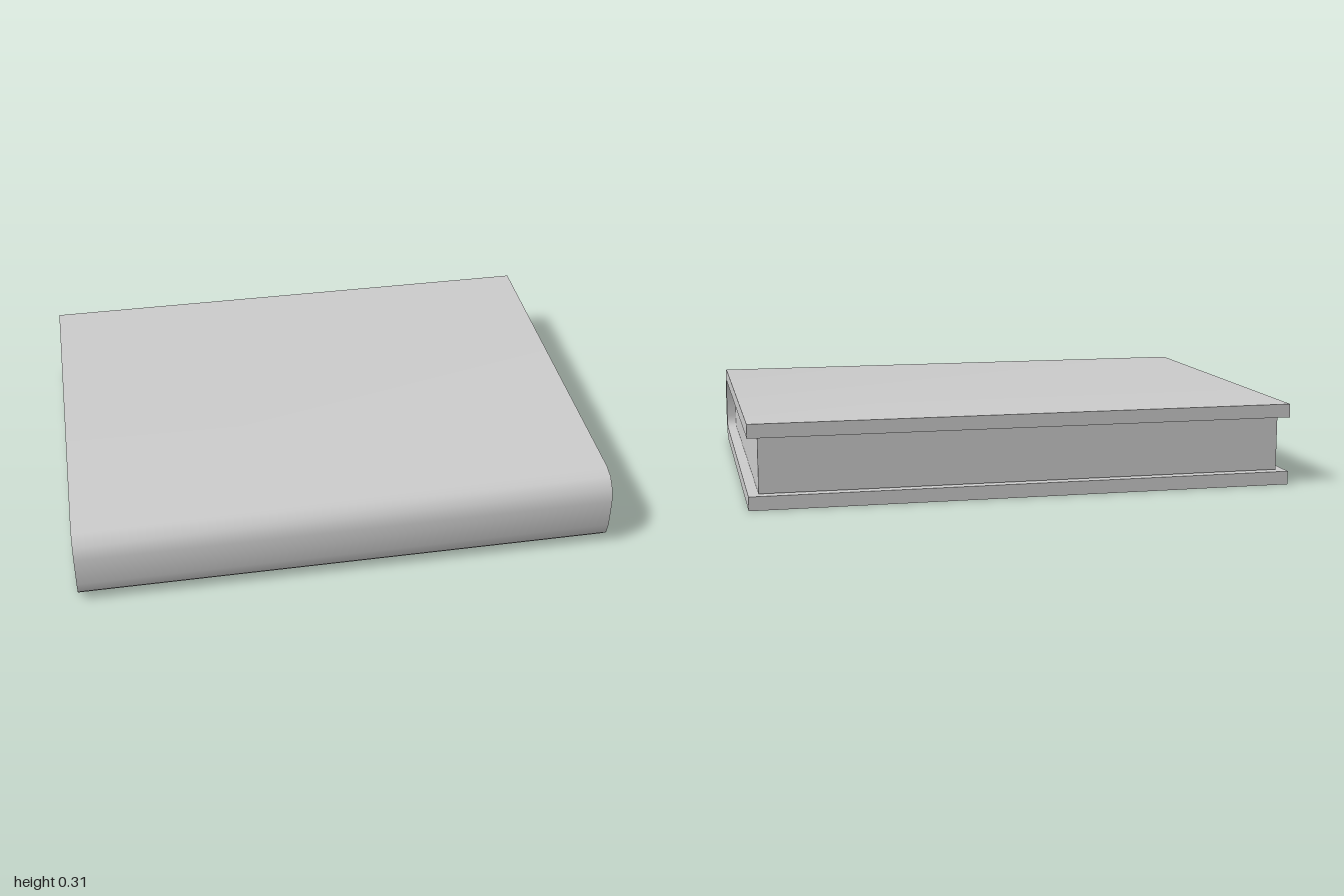
import * as THREE from 'three';
import { toCreasedNormals } from 'three/addons/utils/BufferGeometryUtils.js';

const HEIGHT = 0.305, FRONT = 0.746, BACK = -0.746, BOARD = 0.05;

// Points of a U profile (u = z, v = y) from its bottom back end, round the spine, to its top back end
function spineProfile(back, front, bottom, top, r, segments) {
  const points = [new THREE.Vector2(back, bottom)];
  for (const [centre, start] of [[bottom + r, -Math.PI / 2], [top - r, 0]]) {
    for (let i = 0; i <= segments; i++) {
      const a = start + (i / segments) * Math.PI / 2;
      points.push(new THREE.Vector2(front - r + r * Math.cos(a), centre + r * Math.sin(a)));
    }
  }
  points.push(new THREE.Vector2(back, top));
  return points;
}

// Extrudes a side profile along x, centred, keeping sharp edges sharp
function extrudeAlongX(name, points, width) {
  const geometry = new THREE.ExtrudeGeometry(new THREE.Shape(points), { depth: width, bevelEnabled: false });
  geometry.translate(0, 0, -width / 2);
  geometry.rotateY(-Math.PI / 2);
  const mesh = new THREE.Mesh(
    toCreasedNormals(geometry, THREE.MathUtils.degToRad(40)),
    new THREE.MeshStandardMaterial({ color: 0xcccccc })
  );
  mesh.name = name;
  return mesh;
}

export function createModel() {
  const book = new THREE.Group();
  book.name = 'book';

  // U-shaped cover: two boards joined by the rounded spine
  const outer = spineProfile(BACK, FRONT, 0, HEIGHT, 0.096, 3);
  const inner = spineProfile(BACK, FRONT - BOARD, BOARD, HEIGHT - BOARD, 0.046, 3);
  book.add(extrudeAlongX('cover', [...outer, ...inner.reverse()], 2));

  // Page block, set in from the cover on its three open sides
  const gap = 0.003;
  const block = spineProfile(-0.718, FRONT - BOARD - gap, BOARD + gap, HEIGHT - BOARD - gap, 0.043, 3);
  book.add(extrudeAlongX('pages', block, 1.926));

  return book;
}
